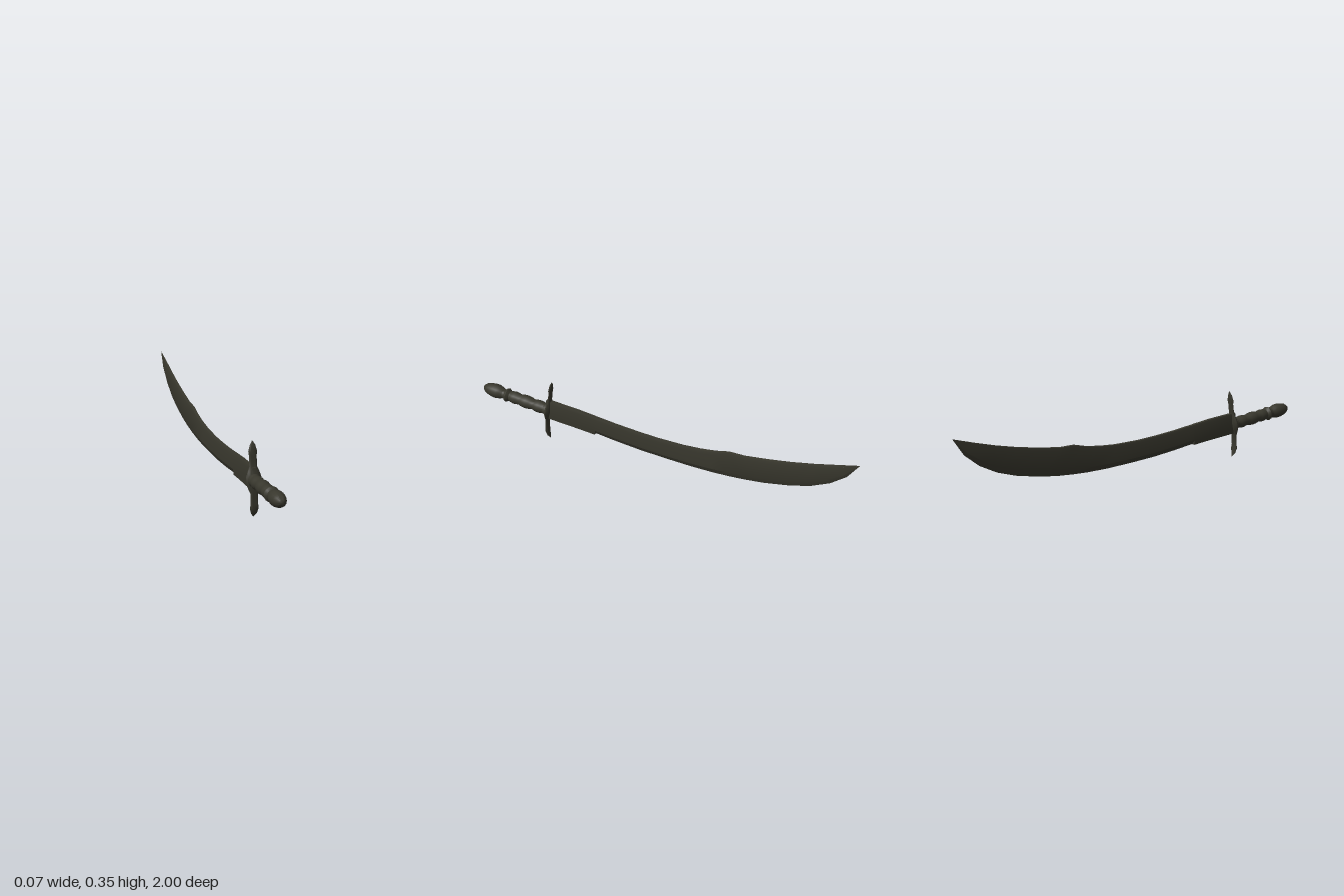
import * as THREE from 'three';
import { toCreasedNormals } from 'three/addons/utils/BufferGeometryUtils.js';

const darkIron = new THREE.MeshStandardMaterial({ color: 0x38372d });
darkIron.name = 'darkIron';

// Skin a list of closed rings, each with the same number of points
function loft(rings, crease) {
  const n = rings[0].length, index = [];
  for (let i = 0; i < rings.length - 1; i++) {
    for (let j = 0; j < n; j++) {
      const a = i * n + j, b = i * n + (j + 1) % n, c = b + n, d = a + n;
      index.push(a, d, c, a, c, b);
    }
  }
  const g = new THREE.BufferGeometry();
  g.setAttribute('position', new THREE.Float32BufferAttribute(rings.flat(2), 3));
  g.setIndex(index);
  return toCreasedNormals(g, crease);
}

function part(name, geometry) {
  const mesh = new THREE.Mesh(geometry, darkIron);
  mesh.name = name;
  return mesh;
}

// Curved blade: spine z, y, edge z, y, half thickness, half thickness of the edge
function makeBlade() {
  const stations = [
    [0.63, 0.235, 0.63, 0.127, 0.012, 0.010],
    [0.46, 0.224, 0.46, 0.116, 0.012, 0.010],
    [0.36, 0.213, 0.36, 0.108, 0.012, 0.010],
    [0.355, 0.212, 0.355, 0.112, 0.012, 0.001],
    [0.24, 0.200, 0.24, 0.098, 0.011, 0.001],
    [0.12, 0.191, 0.11, 0.086, 0.011, 0.001],
    [0.02, 0.186, -0.03, 0.079, 0.011, 0.001],
    [-0.12, 0.187, -0.17, 0.075, 0.011, 0.001],
    [-0.21, 0.194, -0.28, 0.076, 0.011, 0.001],
    [-0.29, 0.206, -0.37, 0.081, 0.011, 0.001],
    [-0.36, 0.224, -0.45, 0.088, 0.011, 0.001],
    [-0.44, 0.225, -0.55, 0.102, 0.011, 0.001],
    [-0.56, 0.243, -0.68, 0.130, 0.011, 0.001],
    [-0.67, 0.264, -0.78, 0.163, 0.010, 0.001],
    [-0.78, 0.290, -0.87, 0.210, 0.009, 0.001],
    [-0.89, 0.321, -0.945, 0.272, 0.007, 0.001],
    [-1.0, 0.355, -1.0, 0.354, 0.0005, 0.0005],
  ];
  const rings = stations.map(([zs, ys, ze, ye, w, e]) => {
    const at = (x, t) => [x, ys + (ye - ys) * t, zs + (ze - zs) * t];
    return [at(w * 0.7, 0), at(-w * 0.7, 0), at(-w, 0.12), at(-w, 0.78),
      at(-e, 1), at(e, 1), at(w, 0.78), at(w, 0.12)];
  });
  return part('blade', loft(rings, 0.35));
}

// Crossguard with a swollen centre and spear-shaped ends: y, z, half width, half depth
function makeGuard() {
  const stations = [
    [0.0, 0.621, 0.001, 0.001],
    [0.02, 0.631, 0.014, 0.006],
    [0.045, 0.635, 0.021, 0.009],
    [0.062, 0.636, 0.018, 0.007],
    [0.115, 0.633, 0.018, 0.008],
    [0.135, 0.630, 0.027, 0.011],
    [0.157, 0.627, 0.035, 0.015],
    [0.175, 0.624, 0.037, 0.016],
    [0.193, 0.621, 0.035, 0.015],
    [0.215, 0.617, 0.027, 0.011],
    [0.235, 0.613, 0.018, 0.008],
    [0.285, 0.606, 0.018, 0.007],
    [0.304, 0.604, 0.021, 0.009],
    [0.332, 0.600, 0.013, 0.006],
    [0.352, 0.595, 0.001, 0.001],
  ];
  const rings = stations.map(([y, z, rx, rz]) => Array.from({ length: 12 }, (_, k) => {
    const a = k / 12 * Math.PI * 2;
    return [rx * Math.cos(a), y, z + rz * Math.sin(a)];
  }));
  return part('crossguard', loft(rings, 0.7));
}

// Turned piece placed along the tilted handle axis: radius, distance from the guard
function turned(name, points) {
  const g = new THREE.LatheGeometry(points.map(([r, t]) => new THREE.Vector2(r, t)), 16);
  g.rotateX(Math.PI / 2 - 0.087);
  g.translate(0, 0.175, 0.62);
  return part(name, toCreasedNormals(g, 0.7));
}

export function createModel() {
  const sword = new THREE.Group();
  sword.name = 'sword';
  sword.add(makeBlade(), makeGuard());

  // Grip of three swellings
  sword.add(turned('grip', [
    [0.030, 0], [0.031, 0.018], [0.027, 0.028], [0.031, 0.045], [0.032, 0.06],
    [0.030, 0.077], [0.026, 0.09], [0.031, 0.108], [0.034, 0.13], [0.032, 0.152],
    [0.027, 0.168], [0.031, 0.185], [0.032, 0.2], [0.029, 0.216], [0.025, 0.228],
    [0.025, 0.27],
  ]));

  // Flanged collar between grip and pommel
  sword.add(turned('collar', [
    [0.024, 0.226], [0.030, 0.232], [0.036, 0.241], [0.034, 0.248], [0.024, 0.256],
  ]));

  // Egg-shaped pommel
  sword.add(turned('pommel', [
    [0.022, 0.252], [0.024, 0.264], [0.031, 0.278], [0.036, 0.298], [0.036, 0.318],
    [0.032, 0.342], [0.025, 0.362], [0.014, 0.376], [0, 0.381],
  ]));
  return sword;
}
